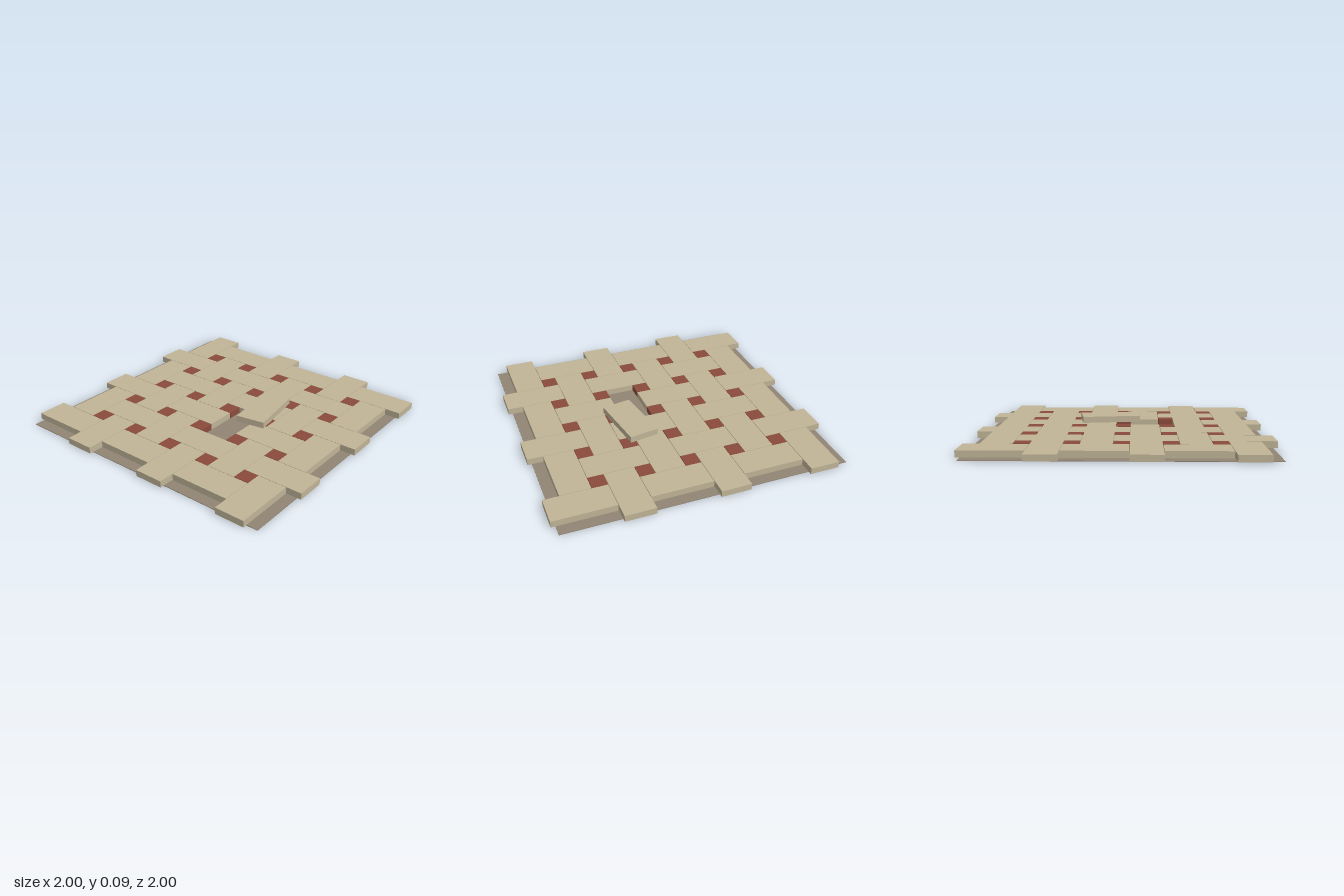
import * as THREE from 'three';

const PITCH = 0.316, COUNT = 6;
const LONG = 0.42, WIDE = 0.206, THICK = 0.044, BED = 0.004;

export function createModel() {
  const model = new THREE.Group();
  model.name = 'basketWeavePaving';

  const stone = new THREE.MeshStandardMaterial({ color: 0xc0b497 });
  stone.name = 'sandStone';
  const clay = new THREE.MeshStandardMaterial({ color: 0x8a4b3c });
  clay.name = 'redClay';
  const mortar = new THREE.MeshStandardMaterial({ color: 0x918473 });
  mortar.name = 'mortar';

  const add = (name, geometry, material, x, y, z, turn = 0) => {
    const mesh = new THREE.Mesh(geometry, material);
    mesh.name = name;
    mesh.position.set(x, y, z);
    mesh.rotation.y = turn;
    model.add(mesh);
  };
  const at = (i) => (i - (COUNT - 1) / 2) * PITCH;

  // Thin mortar bed under the whole panel
  add('mortarBed', new THREE.BoxGeometry(1.94, BED, 1.94), mortar, 0, BED / 2, 0);

  // Bricks alternate direction like a weave; one place is left empty
  const brick = new THREE.BoxGeometry(LONG, THICK, WIDE);
  const y = BED + THICK / 2;
  for (let row = 0; row < COUNT; row++) {
    for (let col = 0; col < COUNT; col++) {
      if (col === 2 && row === 3) continue;
      const across = (row + col) % 2 === 1;
      add(across ? 'crossBrick' : 'lengthBrick', brick, stone, at(col), y, at(row), across ? 0 : Math.PI / 2);
    }
  }

  // Small clay squares fill the holes of the weave
  const square = new THREE.BoxGeometry(0.105, THICK, 0.105);
  for (let row = 0; row < COUNT - 1; row++) {
    for (let col = 0; col < COUNT - 1; col++) {
      add('claySquare', square, clay, at(col + 0.5), y, at(row + 0.5));
    }
  }

  // The lifted brick lies askew on top
  add('looseBrick', brick, stone, 0.102, y + THICK + 0.001, 0.235, THREE.MathUtils.degToRad(9));

  return model;
}
